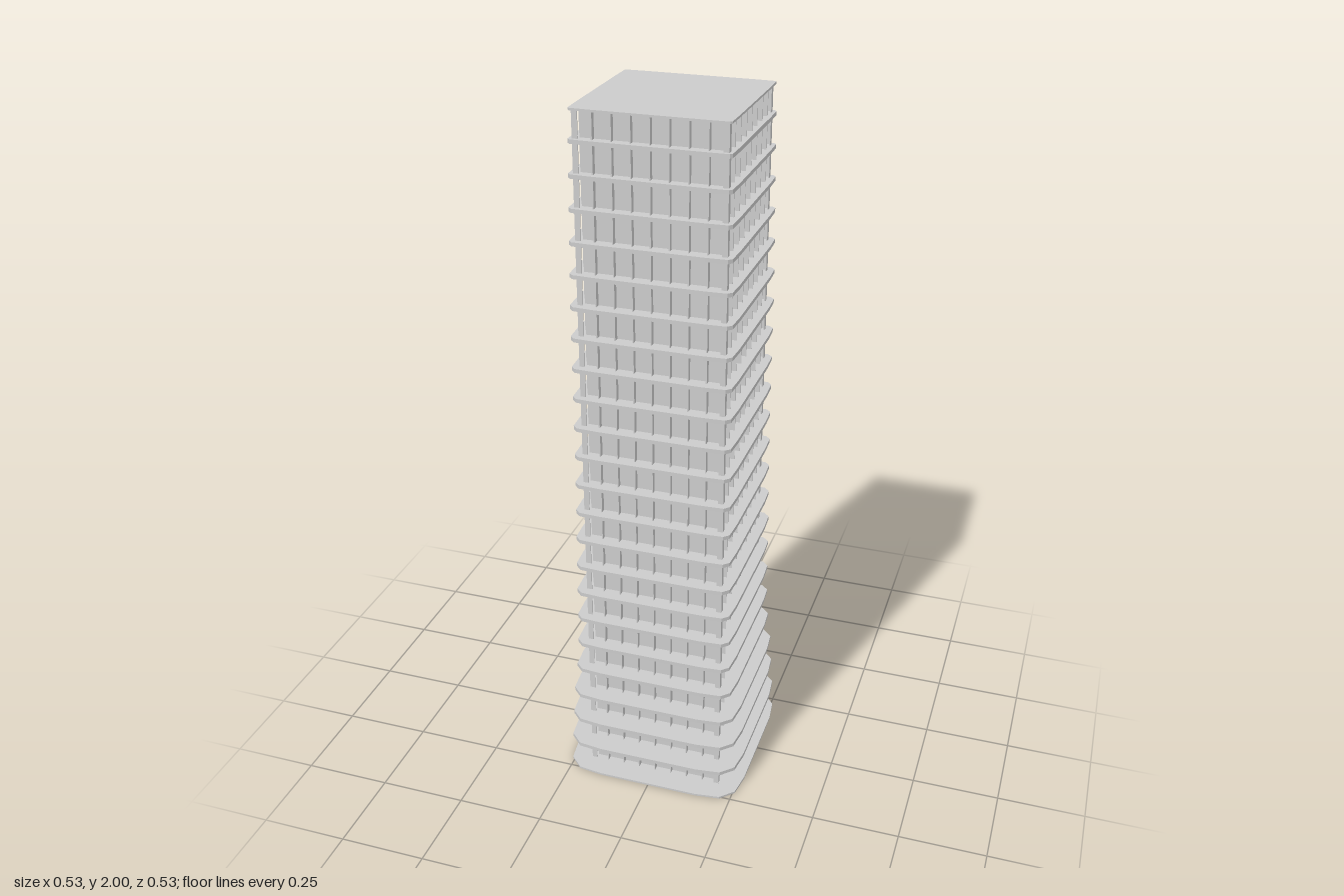
import * as THREE from 'three';

const material = new THREE.MeshStandardMaterial({ color: 0xcccccc, flatShading: true });
const WALL = 0.2;      // outer edge of the fins
const GLASS = 0.185;   // recessed glass core
const PITCH = 0.08705; // storey height
const FLOORS = 23;

// Half extents of the floor slabs, from the flared base to the slim top
const REACH = [
  0.266, 0.262, 0.256, 0.25, 0.239, 0.233, 0.231, 0.23, 0.229, 0.227, 0.225, 0.224,
  0.223, 0.223, 0.222, 0.222, 0.222, 0.221, 0.219, 0.217, 0.215, 0.213, 0.211, 0.208,
];

// Square with bulging sides and cut corners, twelve points
function slabShape(half) {
  const bulge = half - WALL;
  const b = WALL + bulge * 0.29, c = WALL + bulge * 0.86;
  const side = [[half, -0.148], [half, 0.148], [c, b]];
  const points = [];
  for (let k = 0; k < 4; k++) {
    for (let [x, y] of [[c, -b], ...side.slice(0, 2)]) {
      for (let r = 0; r < k; r++) [x, y] = [-y, x];
      points.push(new THREE.Vector2(x, y));
    }
    let [x, y] = side[2];
    for (let r = 0; r < k; r++) [x, y] = [-y, x];
    points.push(new THREE.Vector2(x, y));
  }
  return new THREE.Shape(points);
}

function makeSlab(half, bottom, top) {
  const geometry = new THREE.ExtrudeGeometry(slabShape(half), { depth: top - bottom, bevelEnabled: false });
  geometry.rotateX(-Math.PI / 2);
  const slab = new THREE.Mesh(geometry, material);
  slab.position.y = bottom;
  return slab;
}

export function createModel() {
  const model = new THREE.Group();
  model.name = 'tower';

  // Glass core
  const core = new THREE.Mesh(new THREE.BoxGeometry(GLASS * 2, 1.99, GLASS * 2), material);
  core.name = 'glassCore';
  core.position.y = 0.998;
  model.add(core);

  // Floor slabs, the lowest and the roof being thinner
  for (let i = 0; i <= FLOORS; i++) {
    const centre = 0.003 + i * PITCH;
    const bottom = i === FLOORS ? 1.994 : Math.max(0, centre - 0.0055);
    const top = i === 0 ? 0.006 : Math.min(2, centre + 0.0055);
    const slab = makeSlab(REACH[i], bottom, top);
    slab.name = i === FLOORS ? 'roofSlab' : 'floorSlab' + i;
    model.add(slab);
  }

  // Vertical facade fins, eight bays on each of four sides
  const thickness = 0.003, bays = 8;
  const finGeometry = new THREE.BoxGeometry(thickness, 1.99, WALL - GLASS);
  for (let s = 0; s < 4; s++) {
    const facade = new THREE.Group();
    facade.name = 'facadeFins' + s;
    facade.rotation.y = s * Math.PI / 2;
    for (let i = 0; i <= bays; i++) {
      const fin = new THREE.Mesh(finGeometry, material);
      fin.name = 'fin';
      fin.position.set((i / bays * 2 - 1) * (WALL - thickness / 2), 0.998, (WALL + GLASS) / 2);
      facade.add(fin);
    }
    model.add(facade);
  }
  return model;
}
